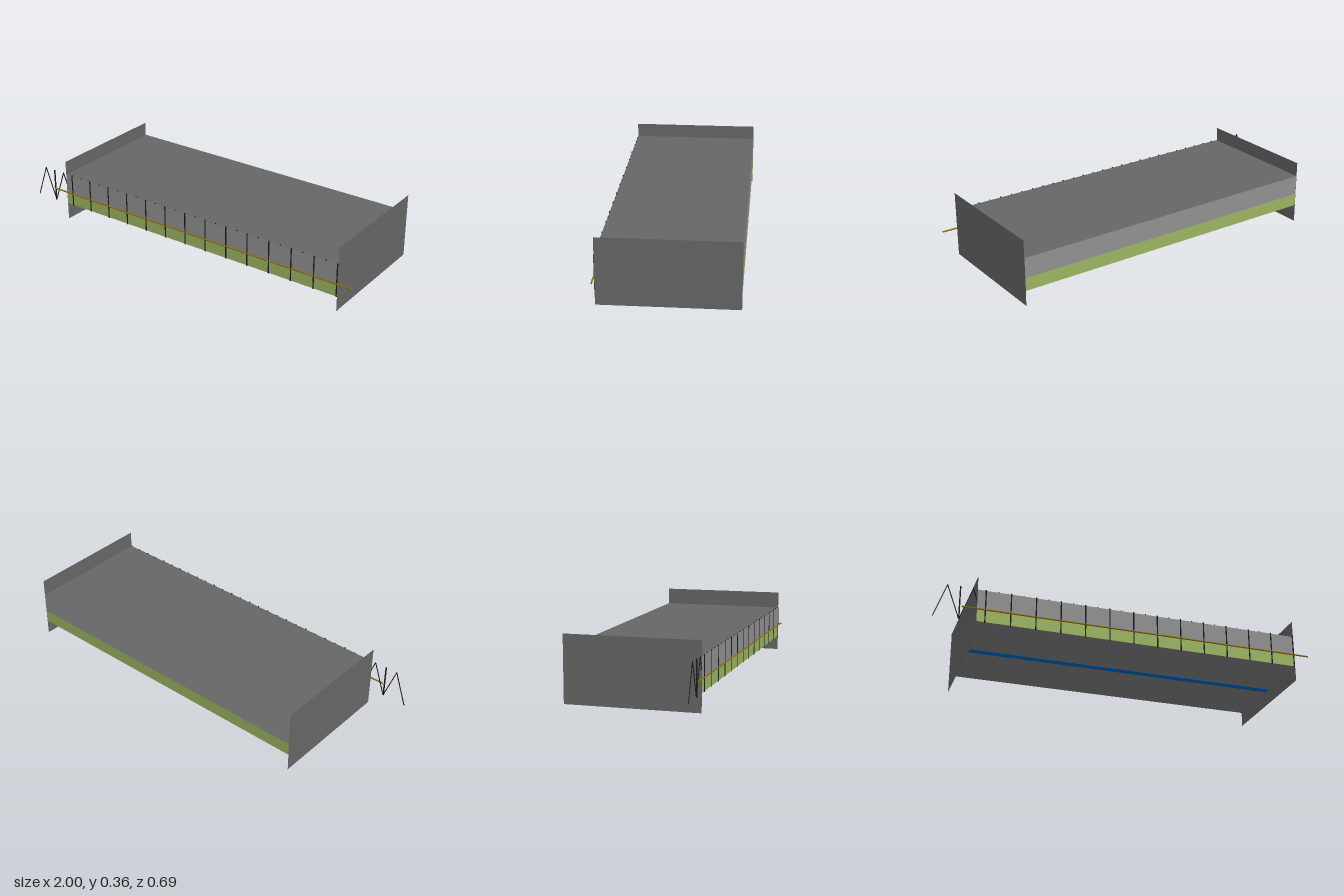
import * as THREE from 'three';

const material = (name, color) => new THREE.MeshStandardMaterial({ name, color });

export function createModel() {
  const darkGrey = material('dark grey', 0x666666);
  darkGrey.side = THREE.DoubleSide;
  const grey = material('light grey', 0x909090);
  const baseGrey = material('mid grey', 0x808080);
  const green = material('leaf green', 0x9bb562);
  const blue = material('deep blue', 0x0066bd);
  const brown = material('golden brown', 0x8f6c14);
  const black = material('black', 0x1a1a1a);

  const model = new THREE.Group();
  const xMin = -0.785, xMax = 0.92, front = 0.34, back = -0.344;
  const bottom = 0.095, split = 0.162, top = 0.267;

  // Box given by its limits on each axis
  function block(name, mat, [x0, x1], [y0, y1], [z0, z1], parent = model) {
    const mesh = new THREE.Mesh(new THREE.BoxGeometry(x1 - x0, y1 - y0, z1 - z0), mat);
    mesh.position.set((x0 + x1) / 2, (y0 + y1) / 2, (z0 + z1) / 2);
    mesh.name = name;
    parent.add(mesh);
  }

  // Body: green lower band with grey underside, grey upper band with dark roof
  const ends = [darkGrey, darkGrey];
  block('lowerWall', [...ends, green, baseGrey, green, green], [xMin, xMax], [bottom, split], [back, front]);
  block('upperWall', [...ends, darkGrey, grey, grey, grey], [xMin, xMax], [split, top], [back, front]);

  // Blue strip along the underside
  block('undersideStrip', blue, [xMin, xMax], [bottom - 0.002, bottom], [-0.02, 0.02]);

  // Sheet-thin end plates, the left one set slightly higher
  function endPlate(name, x, y0, y1) {
    const mesh = new THREE.Mesh(new THREE.PlaneGeometry(front - back, y1 - y0), darkGrey);
    mesh.rotation.y = Math.sign(x) * Math.PI / 2;
    mesh.position.set(x, (y0 + y1) / 2, (front + back) / 2);
    mesh.name = name;
    model.add(mesh);
  }
  endPlate('rightEndPlate', xMin - 0.001, 0, 0.342);
  endPlate('leftEndPlate', xMax + 0.001, 0.015, 0.357);

  // Front posts and the zigzag lacing that runs just inside the front wall
  const posts = new THREE.Group();
  posts.name = 'frontPosts';
  const lacing = new THREE.Group();
  lacing.name = 'zigzagLacing';
  model.add(posts, lacing);

  const step = 0.1277, low = 0.093, high = 0.271;
  function strut(xa, ya, xb, yb) {
    const mesh = new THREE.Mesh(new THREE.BoxGeometry(0.004, Math.hypot(xb - xa, yb - ya), 0.003), black);
    mesh.position.set((xa + xb) / 2, (ya + yb) / 2, front - 0.002);
    mesh.rotation.z = -Math.atan2(xb - xa, yb - ya);
    mesh.name = 'lacingStrut';
    lacing.add(mesh);
  }
  for (let i = 0; i < 15; i++) {
    const x = -0.871 + i * step;
    block('post', black, [x - 0.003, x + 0.003], [low, high], [front - 0.003, front + 0.002], posts);
    strut(x - step, low, x - step / 2, high);
    strut(x - step / 2, high, x, low);
  }

  // Long round rail across the front
  const rail = new THREE.Mesh(new THREE.CylinderGeometry(0.004, 0.004, 1.86, 20), brown);
  rail.rotation.z = Math.PI / 2;
  rail.position.set(0.07, split, front + 0.001);
  rail.name = 'frontRail';
  model.add(rail);

  return model;
}
